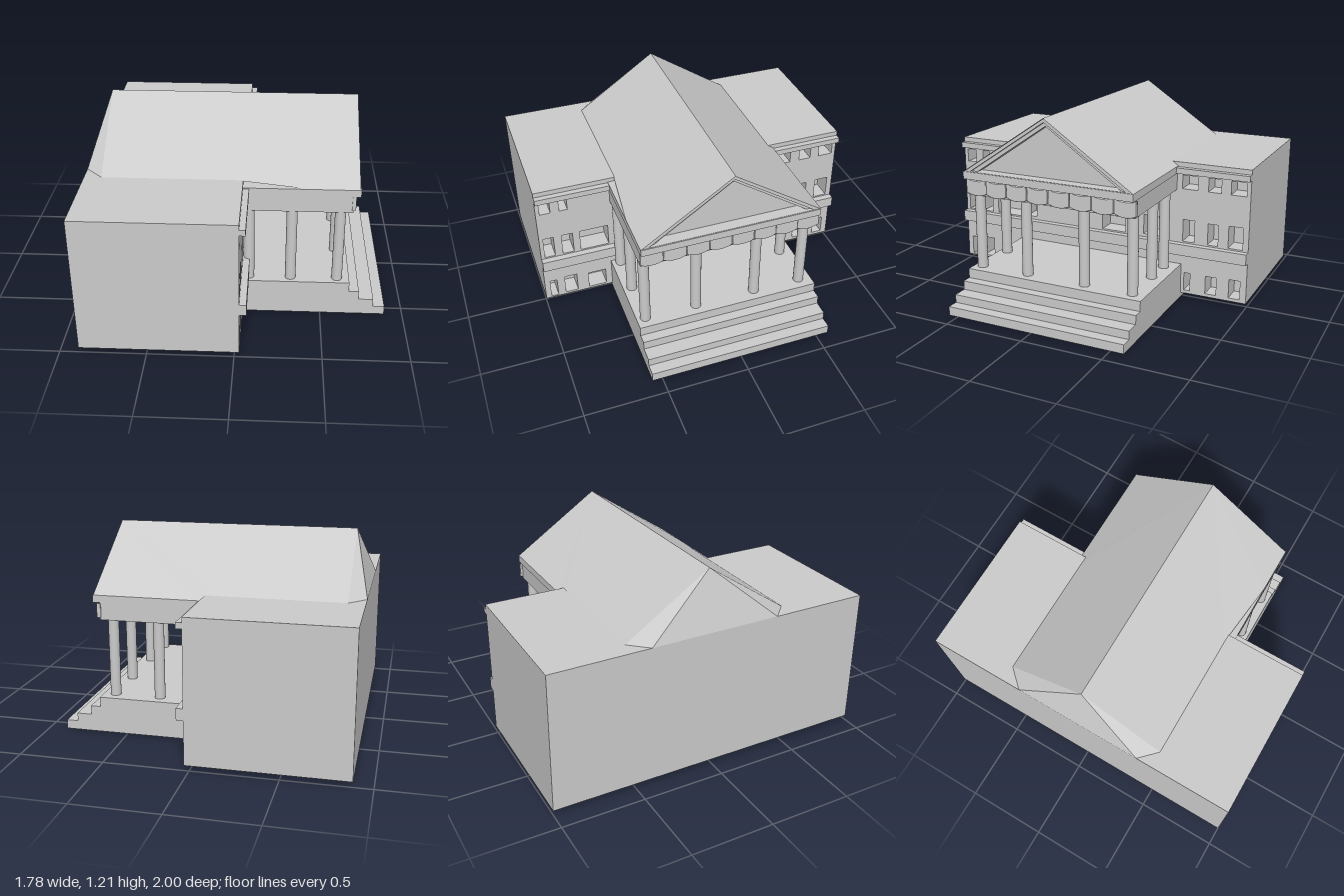
import * as THREE from 'three';

const mat = new THREE.MeshStandardMaterial({ color: 0xcccccc, flatShading: true });
const thin = new THREE.MeshStandardMaterial({ color: 0xcccccc, flatShading: true, side: THREE.DoubleSide });
const smooth = new THREE.MeshStandardMaterial({ color: 0xcccccc });

export function createModel() {
  const model = new THREE.Group();

  const add = (name, geo, material = mat) => {
    const mesh = new THREE.Mesh(geo, material);
    mesh.name = name;
    model.add(mesh);
    return mesh;
  };
  // box given by its limits on each axis
  const box = (name, x0, x1, y0, y1, z0, z1) =>
    add(name, new THREE.BoxGeometry(x1 - x0, y1 - y0, z1 - z0))
      .position.set((x0 + x1) / 2, (y0 + y1) / 2, (z0 + z1) / 2);
  // outline drawn as seen from +x (u = -z), extruded along x
  const extrudeX = (shape, x0, x1, opts = {}) =>
    new THREE.ExtrudeGeometry(shape, { depth: x1 - x0, bevelEnabled: false, ...opts })
      .rotateY(Math.PI / 2).translate(x0, 0, 0);
  const poly = (pts, Type = THREE.Shape) => new Type(pts.map(([u, v]) => new THREE.Vector2(u, v)));
  const rect = (u0, u1, v0, v1, Type) => poly([[u0, v0], [u1, v0], [u1, v1], [u0, v1]], Type);

  // main building: solid rear and a facade pierced by window recesses
  box('mainBlock', -0.89, -0.09, 0.03, 0.87, -1, 1);
  const facade = rect(-1, 1, 0.03, 0.87);
  const windows = [ // [z from, z to, y from, y to]
    [0.975, 0.91, 0.705, 0.79], [0.855, 0.805, 0.705, 0.79],
    [-0.575, -0.675, 0.705, 0.79], [-0.74, -0.82, 0.705, 0.79], [-0.88, -0.975, 0.705, 0.79],
    [0.975, 0.91, 0.37, 0.515], [0.86, 0.79, 0.37, 0.515], [0.745, 0.565, 0.37, 0.515],
    [0.52, 0.445, 0.38, 0.51], [-0.04, -0.2, 0.37, 0.51], [-0.325, -0.47, 0.38, 0.505],
    [-0.585, -0.66, 0.37, 0.51], [-0.745, -0.81, 0.37, 0.505], [-0.875, -0.965, 0.37, 0.51],
    [0.965, 0.92, 0.04, 0.165], [0.87, 0.79, 0.045, 0.175], [0.715, 0.6, 0.045, 0.16],
    [-0.6, -0.64, 0.05, 0.165], [-0.74, -0.81, 0.05, 0.165], [-0.89, -0.96, 0.05, 0.17],
  ];
  for (const z of [0.45, 0.27, 0.09, -0.09, -0.27, -0.45]) windows.push([z + 0.04, z - 0.04, 0.05, 0.165]);
  for (const [z0, z1, y0, y1] of windows) facade.holes.push(rect(-z0, -z1, y0, y1, THREE.Path));
  add('facade', extrudeX(facade, -0.09, 0.03));
  box('lowerBand', 0.03, 0.07, 0.29, 0.36, -1, 1);
  box('upperCornice', 0.03, 0.065, 0.805, 0.84, -1, 1);

  // gabled roof, hipped at its rear end
  const r0 = [-0.79, 1.21, 0], r1 = [0.7, 1.21, 0];
  const tris = [r0, [-0.89, 0.87, -0.4], [-0.89, 0.87, 0.4]];
  for (const [s, inner, kneeX] of [[1, 0.5, 0.42], [-1, 0.51, 0.03]]) {
    const eave = [
      [-0.89, 0.87, s * 0.4], [-0.79, 0.87, s * inner], [-0.02, 0.87, s * inner],
      [kneeX, 0.845, s * 0.545], [0.7, 0.845, s * 0.545],
    ];
    const face = (a, b, c) => tris.push(...(s > 0 ? [a, b, c] : [a, c, b]));
    face(r0, eave[0], eave[1]);
    face(r0, eave[1], eave[2]);
    face(r0, eave[2], r1);
    face(r1, eave[2], eave[3]);
    face(r1, eave[3], eave[4]);
  }
  const roof = new THREE.BufferGeometry();
  roof.setAttribute('position', new THREE.Float32BufferAttribute(tris.flat(), 3));
  roof.computeVertexNormals();
  add('roof', roof, thin);

  // pediment: stepped raking cornice around a recessed panel
  const gable = (w, top, Type) => poly([[-w, 0.845], [w, 0.845], [0, top]], Type);
  const frame = (w0, t0, w1, t1) => {
    const s = gable(w0, t0);
    s.holes.push(poly([[-w1, 0.847], [w1, 0.847], [0, t1]], THREE.Path));
    return s;
  };
  add('rakingCornice', extrudeX(frame(0.54, 1.206, 0.5, 1.185), 0.6, 0.7));
  add('innerRakingCornice', extrudeX(frame(0.52, 1.193, 0.46, 1.16), 0.6, 0.68));
  add('pedimentPanel', extrudeX(gable(0.5, 1.18), 0.59, 0.63));

  // portico beam and cornice
  box('porticoCornice', 0.03, 0.705, 0.8, 0.845, -0.545, 0.545);
  box('entablature', 0.03, 0.665, 0.695, 0.8, -0.54, 0.54);

  // row of draped swags on the front of the beam
  const count = 8, width = 1.1 / count;
  for (let i = 0; i < count; i++) {
    const u = -0.545 + i * width;
    const swag = new THREE.Shape();
    swag.moveTo(u + 0.006, 0.715);
    swag.quadraticCurveTo(u + width / 2, 0.686, u + width - 0.006, 0.715);
    swag.lineTo(u + width - 0.006, 0.792);
    swag.quadraticCurveTo(u + width / 2, 0.77, u + 0.006, 0.792);
    add('swag', extrudeX(swag, 0.665, 0.672, {
      bevelEnabled: true, bevelSize: 0.006, bevelThickness: 0.008, bevelSegments: 3, curveSegments: 8,
    }));
  }

  // columns along the front and both sides
  const columns = [
    [0.595, 0.505], [0.595, 0.185], [0.595, -0.195], [0.595, -0.5],
    [0.315, 0.505], [0.315, -0.5], [0.065, 0.505], [0.125, -0.5],
  ];
  for (const [x, z] of columns) {
    add('column', new THREE.CylinderGeometry(0.032, 0.032, 0.65, 24), smooth).position.set(x, 0.425, z);
  }

  // stepped platform: a hollow shell open underneath
  const steps = [
    [0.89, 0], [0.89, 0.055], [0.82, 0.055], [0.82, 0.105], [0.73, 0.105],
    [0.73, 0.16], [0.67, 0.16], [0.67, 0.22], [0.03, 0.22],
  ];
  const zBack = -0.58, zFront = 0.56;
  for (let i = 0; i < steps.length - 1; i++) {
    const [xa, ya] = steps[i], [xb, yb] = steps[i + 1];
    const riser = xa === xb;
    const geo = new THREE.PlaneGeometry(riser ? zFront - zBack : xa - xb, riser ? yb - ya : zFront - zBack);
    if (riser) geo.rotateY(Math.PI / 2);
    else geo.rotateX(-Math.PI / 2);
    add(riser ? 'stepRiser' : 'stepTread', geo, thin)
      .position.set((xa + xb) / 2, (ya + yb) / 2, (zFront + zBack) / 2);
  }
  // side walls run on as low strips beneath the building
  for (const [z, end] of [[zFront, -0.2], [zBack, -0.4]]) {
    const side = new THREE.ShapeGeometry(poly([...steps, [0.03, 0.03], [end, 0.03], [end, 0]]));
    if (z < 0) side.rotateY(Math.PI).scale(-1, 1, 1);
    if (z < 0) side.setIndex([...side.index.array].reverse());
    side.computeVertexNormals();
    add('platformSide', side, thin).position.z = z;
  }

  return model;
}
